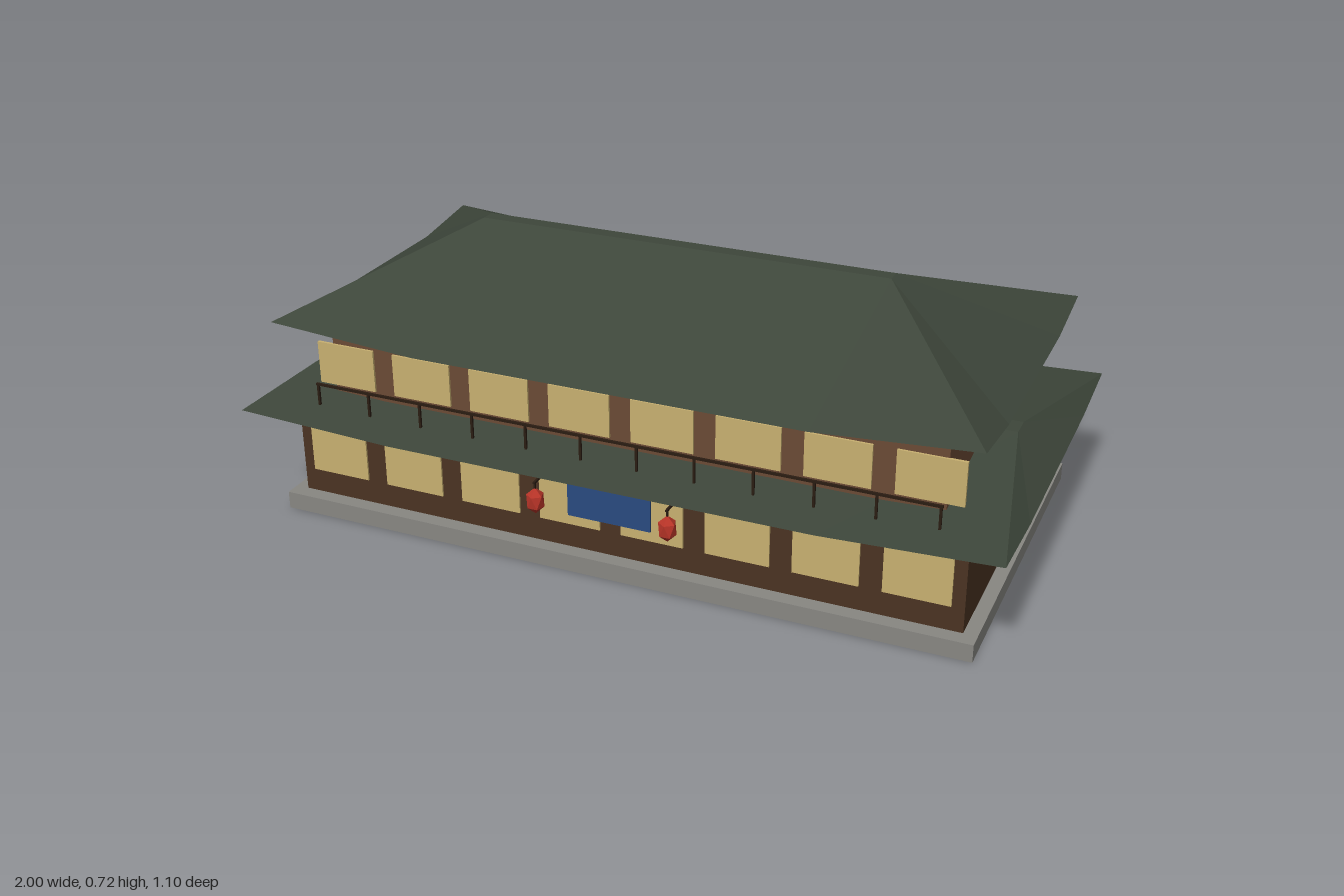
import * as THREE from 'three';

const mat = (name, color, extra = {}) => {
  const m = new THREE.MeshStandardMaterial({ color, flatShading: true, ...extra });
  m.name = name;
  return m;
};

export function createModel() {
  const root = new THREE.Group();
  root.name = 'innBuilding';
  const stone = mat('stone', 0x888782);
  const darkWood = mat('darkWood', 0x4a3322);
  const lightWood = mat('lightWood', 0x6b4a35);
  const roofTile = mat('roofTile', 0x3d463a, { side: THREE.DoubleSide });
  const paper = mat('windowPaper', 0xc8b070);
  const trim = mat('railWood', 0x2a1c12);
  const cloth = mat('blueCloth', 0x2a4a80);
  const red = mat('lanternRed', 0xb83428);

  const add = (name, geo, material, x = 0, y = 0, z = 0) => {
    const mesh = new THREE.Mesh(geo, material);
    mesh.name = name;
    mesh.position.set(x, y, z);
    root.add(mesh);
    return mesh;
  };
  // Box given by its lower and upper bounds
  const block = (name, material, x0, x1, y0, y1, z0, z1) =>
    add(name, new THREE.BoxGeometry(x1 - x0, y1 - y0, z1 - z0), material,
      (x0 + x1) / 2, (y0 + y1) / 2, (z0 + z1) / 2);

  // Hipped sheet roof whose eaves rise towards the corners
  const roof = (name, X, Z, yCorner, yEave, rx, rz, yRidge) => {
    const signs = [[-1, 1], [1, 1], [1, -1], [-1, -1]];
    const eave = signs.map(([sx, sz]) => new THREE.Vector3(sx * X, yCorner, sz * Z));
    const top = signs.map(([sx, sz]) => new THREE.Vector3(sx * rx, yRidge, sz * rz));
    const pts = [];
    for (let i = 0; i < 4; i++) {
      const j = (i + 1) % 4;
      const a = eave[i], d = eave[j], p = top[i], q = top[j];
      const b = a.clone().lerp(d, 0.22).setY(yEave);
      const c = a.clone().lerp(d, 0.78).setY(yEave);
      pts.push(a, b, p, b, c, q, b, q, p, c, d, q);
    }
    pts.push(top[0], top[1], top[2], top[0], top[2], top[3]);
    const geo = new THREE.BufferGeometry().setFromPoints(pts);
    geo.computeVertexNormals();
    return add(name, geo, roofTile);
  };

  // Plinth and the two storeys
  block('plinth', stone, -0.93, 0.93, 0, 0.047, -0.485, 0.485);
  block('groundFloor', darkWood, -0.895, 0.895, 0.047, 0.287, -0.445, 0.445);
  block('upperFloor', lightWood, -0.82, 0.82, 0.287, 0.511, -0.437, 0.38);
  roof('lowerRoof', 1, 0.55, 0.304, 0.286, 0.9, 0.03, 0.375);
  roof('upperRoof', 0.925, 0.49, 0.54, 0.512, 0.56, 0.02, 0.718);

  // Window rows
  for (let i = 0; i < 8; i++) {
    const x = (i - 3.5) * 0.223;
    block('groundWindow', paper, x - 0.083, x + 0.083, 0.113, 0.24, 0.443, 0.45);
    block('upperWindow', paper, x - 0.083, x + 0.083, 0.34, 0.455, 0.378, 0.386);
  }

  // Balcony rail above the lower roof
  block('rail', trim, -0.83, 0.83, 0.366, 0.372, 0.45, 0.456);
  for (let i = 0; i < 12; i++) {
    const x = (i - 5.5) * 0.15;
    block('railPost', trim, x - 0.003, x + 0.003, 0.298, 0.37, 0.45, 0.456);
  }

  // Door curtain
  block('doorCurtain', cloth, -0.112, 0.112, 0.143, 0.246, 0.453, 0.458);

  // Faceted lanterns hung from short brackets
  const lantern = new THREE.IcosahedronGeometry(1, 0);
  lantern.rotateX(-Math.atan((1 + Math.sqrt(5)) / 2));
  lantern.scale(0.025, 0.036, 0.025);
  for (const x of [-0.18, 0.175]) {
    block('lanternBracket', trim, x - 0.003, x + 0.003, 0.238, 0.243, 0.445, 0.504);
    block('lanternCord', trim, x - 0.002, x + 0.002, 0.222, 0.24, 0.496, 0.5);
    add('lantern', lantern, red, x, 0.19, 0.498);
  }
  return root;
}
